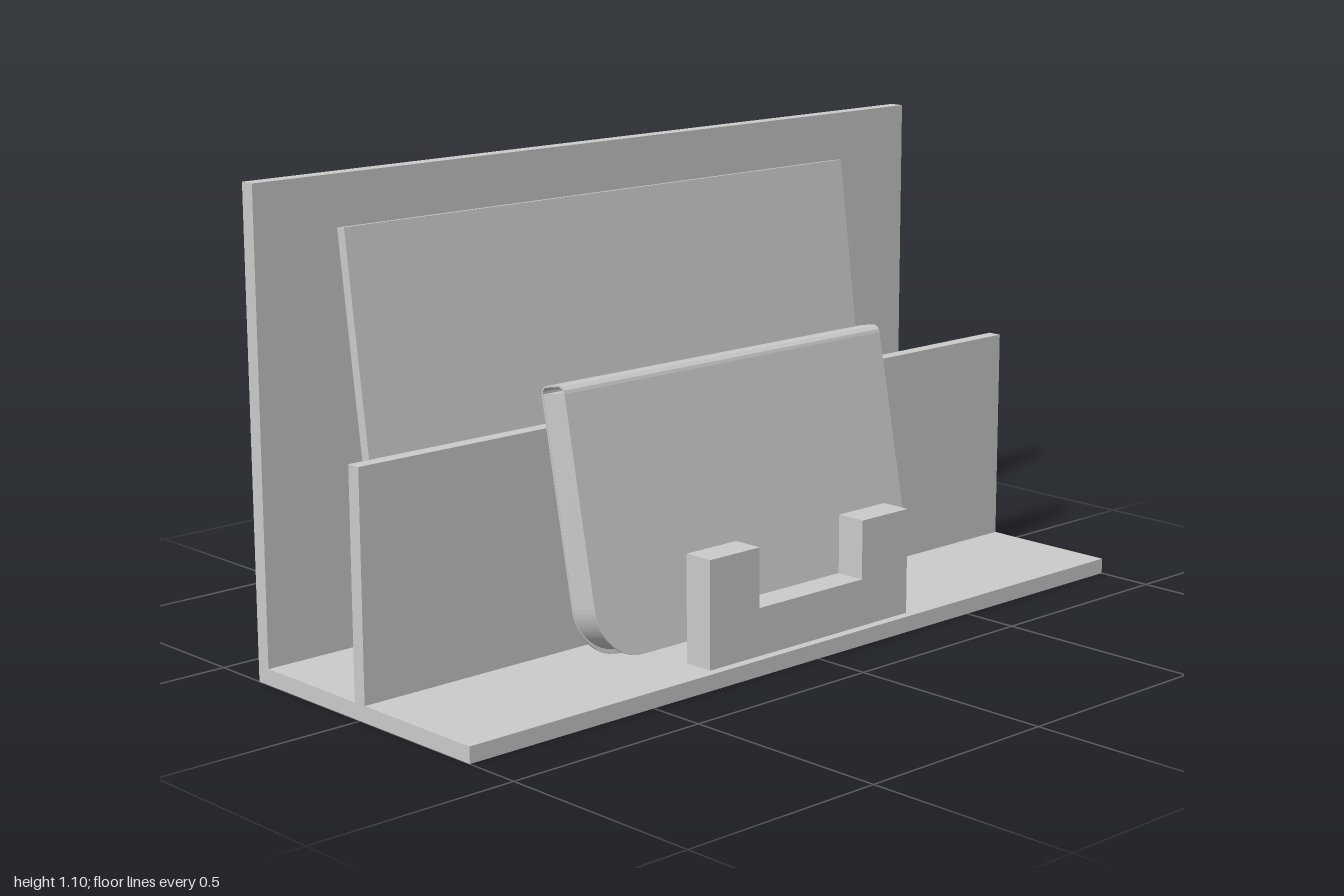
import * as THREE from 'three';
import { toCreasedNormals } from 'three/addons/utils/BufferGeometryUtils.js';

const material = new THREE.MeshStandardMaterial({ color: 0xcccccc, side: THREE.DoubleSide });

function addMesh(parent, name, geometry) {
  const mesh = new THREE.Mesh(geometry, material);
  mesh.name = name;
  parent.add(mesh);
  return mesh;
}

// Box given by its extents on each axis
function addBox(parent, name, [x0, x1], [y0, y1], [z0, z1]) {
  const mesh = addMesh(parent, name, new THREE.BoxGeometry(x1 - x0, y1 - y0, z1 - z0));
  mesh.position.set((x0 + x1) / 2, (y0 + y1) / 2, (z0 + z1) / 2);
  return mesh;
}

function extrude(shape, depth) {
  const geometry = new THREE.ExtrudeGeometry(shape, { depth, bevelEnabled: false, curveSegments: 16 });
  return toCreasedNormals(geometry, 0.6);
}

// Sheet outline with square top corners and rounded bottom corners
function sheetShape(x0, x1, y0, y1, r) {
  const s = new THREE.Shape();
  s.moveTo(x0, y1);
  s.lineTo(x0, y0 + r);
  s.absarc(x0 + r, y0 + r, r, Math.PI, Math.PI * 1.5, false);
  s.lineTo(x1 - r, y0);
  s.absarc(x1 - r, y0 + r, r, -Math.PI / 2, 0, false);
  s.lineTo(x1, y1);
  s.closePath();
  return s;
}

// Spine cross-section: a thin cap with rounded shoulders
function spineShape(half, y0, y1, r, t) {
  const s = new THREE.Shape();
  s.moveTo(half, y0);
  s.lineTo(half, y1 - r);
  s.absarc(half - r, y1 - r, r, 0, Math.PI / 2, false);
  s.lineTo(-half + r, y1);
  s.absarc(-half + r, y1 - r, r, Math.PI / 2, Math.PI, false);
  s.lineTo(-half, y0);
  s.lineTo(-half + t, y0);
  s.lineTo(-half + t, y1 - r);
  s.absarc(-half + r, y1 - r, r - t, Math.PI, Math.PI / 2, true);
  s.lineTo(half - r, y1 - t);
  s.absarc(half - r, y1 - r, r - t, Math.PI / 2, 0, true);
  s.lineTo(half - t, y0);
  s.closePath();
  return s;
}

// Leaning book: page block between two covers, joined by a spine at the top
function createBook() {
  const book = new THREE.Group();
  book.name = 'book';
  const x0 = -0.495, x1 = 0.491, half = 0.0385, t = 0.004, top = 0.592;

  const pages = addMesh(book, 'pageBlock',
    extrude(sheetShape(x0 + 0.001, x1 - 0.001, 0.013, top + 0.002, 0.11), 2 * (half - t)));
  pages.position.z = -(half - t);

  const coverGeometry = extrude(sheetShape(x0, x1, 0, top, 0.12), t);
  addMesh(book, 'frontCover', coverGeometry).position.z = half - t;
  addMesh(book, 'backCover', coverGeometry).position.z = -half;

  const spine = addMesh(book, 'spine', extrude(spineShape(half, top, 0.612, 0.019, t), x1 - x0));
  spine.rotation.y = Math.PI / 2;
  spine.position.x = x0;

  book.position.set(0, 0.047, 0.156);
  book.rotation.x = -0.196;
  return book;
}

export function createModel() {
  const model = new THREE.Group();
  model.name = 'displayStand';

  // Stand
  addBox(model, 'base', [-1, 1], [0, 0.037], [-0.363, 0.363]);
  addBox(model, 'backPanel', [-1, 1], [0.037, 1.098], [-0.363, -0.327]);
  addBox(model, 'middlePanel', [-1, 1], [0.037, 0.55], [-0.017, 0.017]);

  // Board leaning against the back panel
  const board = addBox(model, 'leaningBoard', [-0.785, 0.75], [0, 0.952], [-0.0125, 0.0125]);
  board.position.set(-0.0175, 0.511, -0.25);
  board.rotation.x = -0.135;

  model.add(createBook());

  // Notched holder at the front
  const outline = [[-0.315, 0.037], [0.311, 0.037], [0.311, 0.285], [0.161, 0.285],
    [0.161, 0.147], [-0.165, 0.147], [-0.165, 0.285], [-0.315, 0.285]];
  const holderShape = new THREE.Shape(outline.map(([x, y]) => new THREE.Vector2(x, y)));
  addMesh(model, 'frontHolder', extrude(holderShape, 0.073)).position.z = 0.268;

  return model;
}
